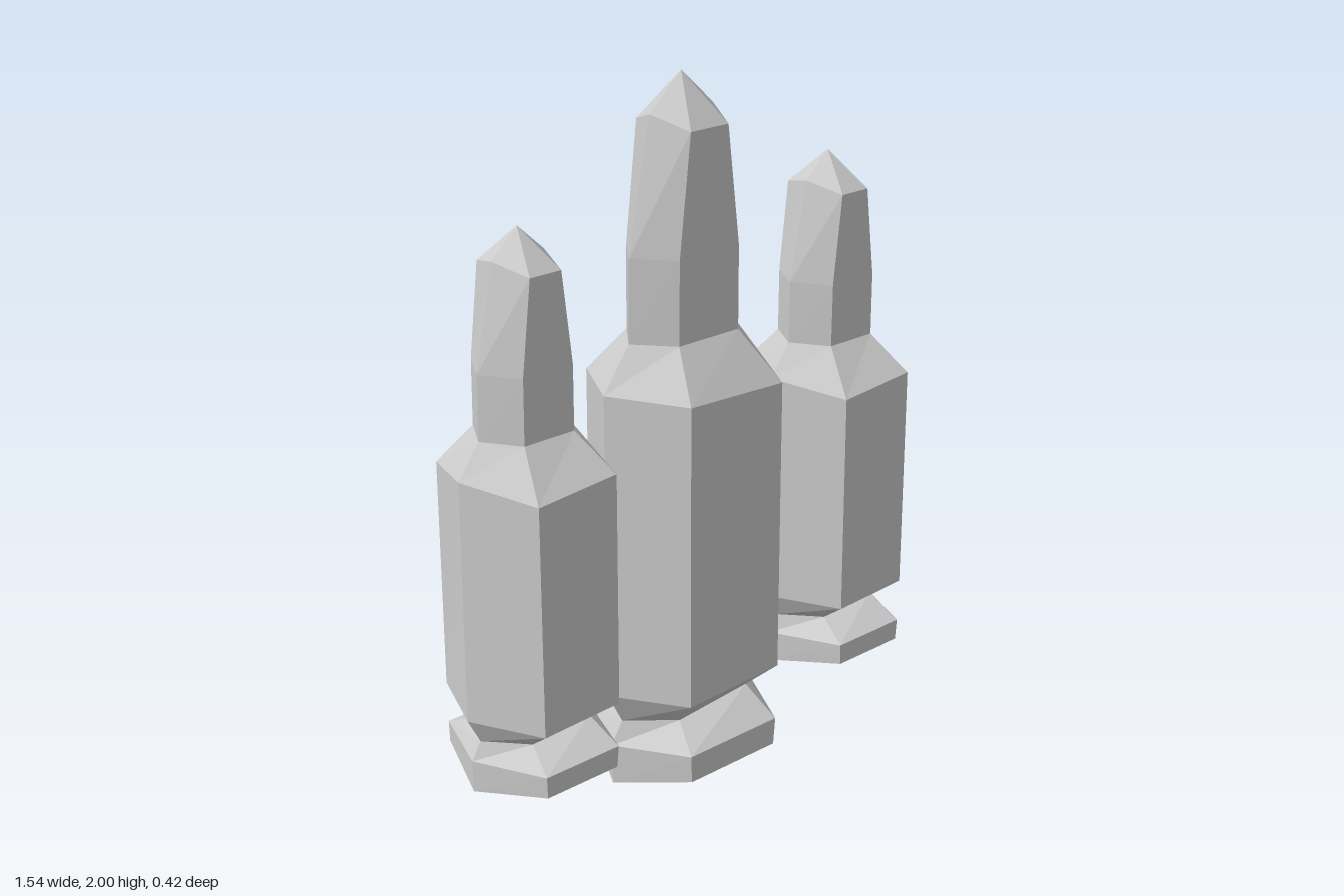
import * as THREE from 'three';

const material = new THREE.MeshStandardMaterial({ color: 0xcccccc, flatShading: true });

// Each ring is a stretched hexagon, listed from the base up:
// x and y of its left, front-left, front-right and right corners, then its half depth.
const RINGS = {
  base: [[-0.27, 0.0], [-0.16, 0.047], [0.16, 0.047], [0.27, 0.0], 0.21],
  rimTop: [[-0.272, 0.12], [-0.163, 0.127], [0.167, 0.127], [0.275, 0.138], 0.21],
  groove: [[-0.233, 0.185], [-0.11, 0.182], [0.15, 0.203], [0.233, 0.182], 0.105],
  bodyBottom: [[-0.285, 0.281], [-0.165, 0.283], [0.172, 0.295], [0.28, 0.281], 0.21],
  shoulder: [[-0.285, 1.172], [-0.165, 1.165], [0.172, 1.152], [0.278, 1.176], 0.21],
  neck: [[-0.195, 1.295], [-0.11, 1.295], [0.106, 1.295], [0.18, 1.297], 0.105],
  bulge: [[-0.192, 1.53], [-0.108, 1.53], [0.106, 1.53], [0.178, 1.535], 0.105],
  tipBase: [[-0.117, 1.9], [-0.069, 1.865], [0.064, 1.865], [0.106, 1.9], 0.105],
};
const APEX = [-0.006, 2, 0];

// Joins rings into a hexagonal skin, optionally closed by a base or a point
function skin(name, rings, { bottom = false, apex = null } = {}) {
  const positions = [];
  const index = [];
  for (const [l, fl, fr, r, d] of rings) {
    positions.push(...l, 0, ...fl, d, ...fr, d, ...r, 0, ...fr, -d, ...fl, -d);
  }
  for (let k = 0; k < rings.length - 1; k++) {
    for (let i = 0; i < 6; i++) {
      const a = k * 6 + i;
      const b = k * 6 + ((i + 1) % 6);
      index.push(a, b, b + 6, a, b + 6, a + 6);
    }
  }
  // The base folds along its left-right ridge
  if (bottom) index.push(0, 3, 2, 0, 2, 1, 0, 5, 4, 0, 4, 3);
  if (apex) {
    const top = (rings.length - 1) * 6;
    positions.push(...apex);
    for (let i = 0; i < 6; i++) index.push(top + i, top + ((i + 1) % 6), top + 6);
  }
  const indexed = new THREE.BufferGeometry();
  indexed.setAttribute('position', new THREE.Float32BufferAttribute(positions, 3));
  indexed.setIndex(index);
  const geometry = indexed.toNonIndexed();
  geometry.computeVertexNormals();
  const mesh = new THREE.Mesh(geometry, material);
  mesh.name = name;
  return mesh;
}

function cartridge(name, shoulder) {
  const R = RINGS;
  const group = new THREE.Group();
  group.name = name;
  group.add(
    skin('rim', [R.base, R.rimTop, R.groove], { bottom: true }),
    skin('casing', [R.groove, R.bodyBottom, shoulder, R.neck]),
    skin('projectile', [R.neck, R.bulge, R.tipBase], { apex: APEX }),
  );
  return group;
}

export function createModel() {
  const model = new THREE.Group();
  model.name = 'cartridges';
  model.add(cartridge('centreCartridge', RINGS.shoulder));

  // Smaller, raised cartridges on both sides, with a slightly different shoulder slope
  const sideShoulder = [[-0.285, 1.174], [-0.168, 1.135], [0.172, 1.16], [0.275, 1.174], 0.21];
  for (const side of [-1, 1]) {
    const small = cartridge(side < 0 ? 'rightCartridge' : 'leftCartridge', sideShoulder);
    small.scale.set(0.755, 0.762, 1);
    small.position.set(side * 0.556, 0.17, 0);
    model.add(small);
  }
  return model;
}
